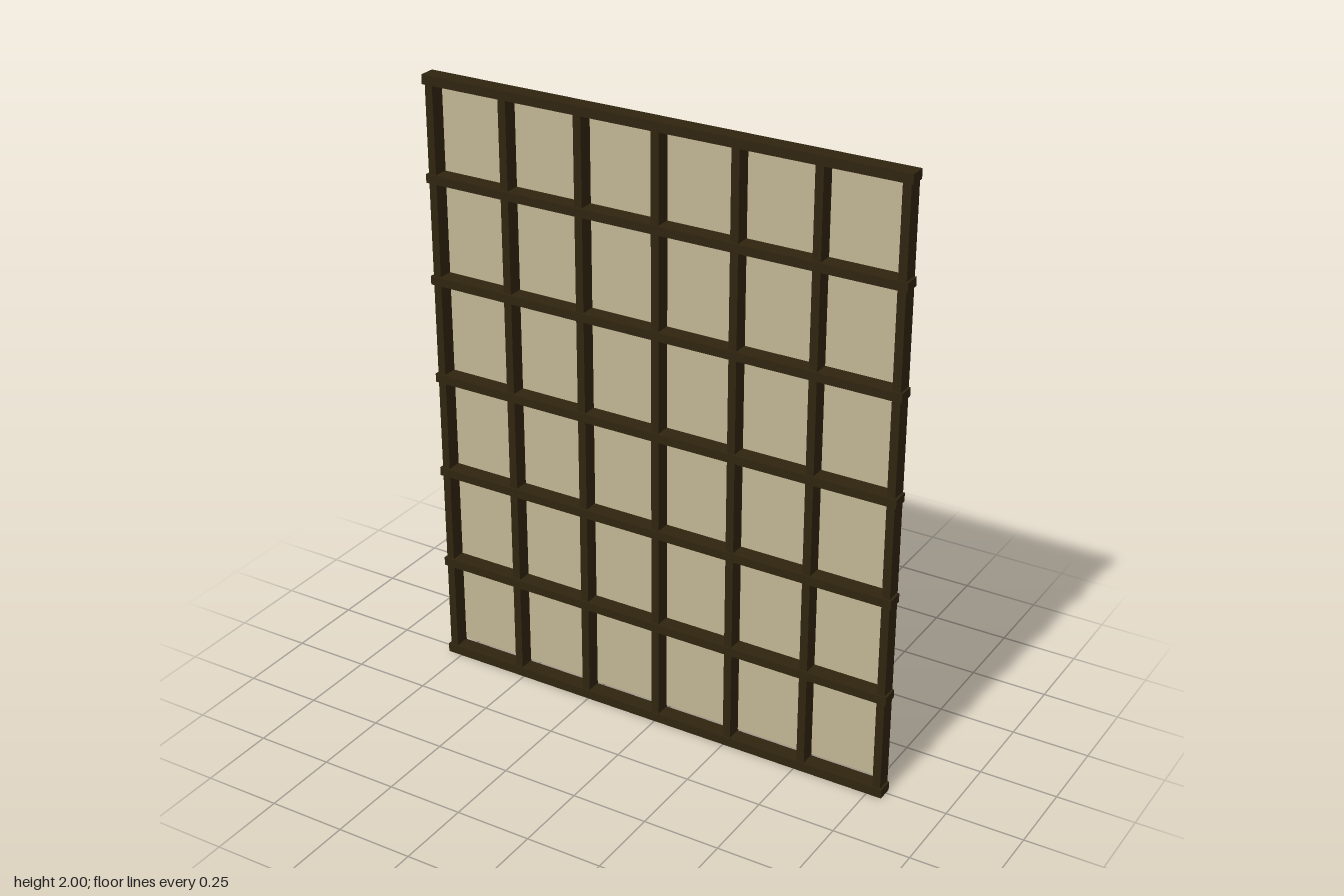
import * as THREE from 'three';

export function createModel() {
  const wood = new THREE.MeshStandardMaterial({ name: 'dark wood', color: 0x30240f });
  const paper = new THREE.MeshStandardMaterial({ name: 'cream paper', color: 0xc0b594 });
  const model = new THREE.Group();
  model.name = 'latticeScreen';

  // Box given by its lower and upper corners
  function box(name, material, [x0, y0, z0], [x1, y1, z1]) {
    const mesh = new THREE.Mesh(new THREE.BoxGeometry(x1 - x0, y1 - y0, z1 - z0), material);
    mesh.position.set((x0 + x1) / 2, (y0 + y1) / 2, (z0 + z1) / 2);
    mesh.name = name;
    model.add(mesh);
  }

  // Paper sheet behind the lattice
  box('paperPanel', paper, [-0.77, 0.035, -0.034], [0.77, 1.956, -0.021]);

  // Upright bars, the outer two being the stiles
  for (let i = -3; i <= 3; i++) {
    const x = i * 0.26;
    const name = Math.abs(i) === 3 ? 'sideStile' : 'verticalBar';
    box(name, wood, [x - 0.013, 0.005, -0.023], [x + 0.013, 1.99, 0.028]);
  }

  // Bottom and top rails
  box('bottomRail', wood, [-0.8, 0, -0.02], [0.8, 0.03, 0.033]);
  box('topRail', wood, [-0.8, 1.97, -0.02], [0.8, 2, 0.033]);

  // Cross bars standing slightly proud of the uprights
  for (let i = 1; i <= 5; i++) {
    const y = 0.015 + i * 0.332;
    box('crossBar', wood, [-0.8, y - 0.014, -0.02], [0.8, y + 0.014, 0.034]);
  }
  return model;
}
